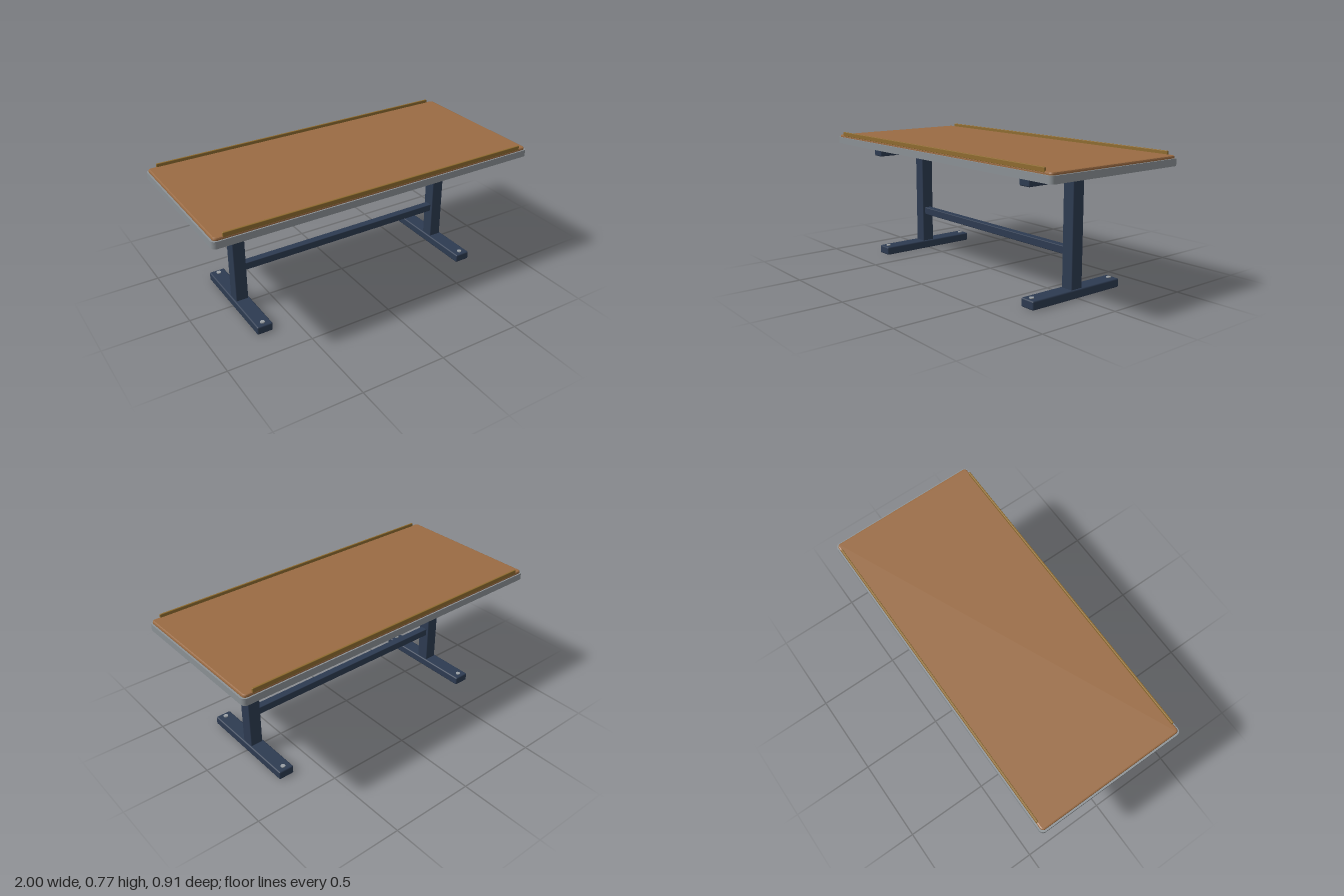
import * as THREE from 'three';
import { RoundedBoxGeometry } from 'three/addons/geometries/RoundedBoxGeometry.js';

const paint = (name, color) => {
  const m = new THREE.MeshStandardMaterial({ color });
  m.name = name;
  return m;
};

// Rounded rectangle in plan, given half sizes and corner radius
function outline(hx, hz, r, Type = THREE.Shape) {
  const s = new Type();
  s.moveTo(hx, -hz + r);
  s.lineTo(hx, hz - r);
  s.absarc(hx - r, hz - r, r, 0, Math.PI / 2);
  s.absarc(-hx + r, hz - r, r, Math.PI / 2, Math.PI);
  s.absarc(-hx + r, -hz + r, r, Math.PI, Math.PI * 1.5);
  s.absarc(hx - r, -hz + r, r, Math.PI * 1.5, Math.PI * 2);
  return s;
}

// Extrude a plan shape upward between two heights, with an optional bevel
function slab(shape, y0, y1, bevel = 0) {
  const g = new THREE.ExtrudeGeometry(shape, {
    depth: y1 - y0 - 2 * bevel, curveSegments: 8, bevelEnabled: bevel > 0,
    bevelSize: bevel, bevelThickness: bevel, bevelOffset: -bevel, bevelSegments: 2,
  });
  g.rotateX(-Math.PI / 2);
  g.translate(0, y0 + bevel, 0);
  return g;
}

export function createModel() {
  const model = new THREE.Group();
  model.name = 'table';
  const wood = paint('wood', 0x9a6b43);
  const edging = paint('grey edging', 0x8c9296);
  const brass = paint('brass', 0x8f6c30);
  const steel = paint('navy steel', 0x2d3b51);
  const metal = paint('bolt metal', 0x9aa0a5);

  const add = (parent, name, geometry, material, x = 0, y = 0, z = 0) => {
    const mesh = new THREE.Mesh(geometry, material);
    mesh.name = name;
    mesh.position.set(x, y, z);
    parent.add(mesh);
    return mesh;
  };
  const box = (w, h, d, r) => new RoundedBoxGeometry(w, h, d, 2, r);

  // Table top: core, bevelled working surface and edge band
  add(model, 'topCore', slab(outline(0.99, 0.446, 0.02), 0.701, 0.742), wood);
  add(model, 'topSurface', slab(outline(0.99, 0.447, 0.02), 0.728, 0.755, 0.008), wood);
  const band = outline(1, 0.455, 0.026);
  band.holes.push(outline(0.99, 0.446, 0.02, THREE.Path));
  add(model, 'edgeBand', slab(band, 0.7, 0.74), edging);

  // Low rails along both long edges
  for (const s of [1, -1])
    add(model, 'edgeRail', box(1.88, 0.026, 0.011, 0.003), brass, 0, 0.761, s * 0.4415);

  // T-shaped leg at each end
  for (const s of [1, -1]) {
    const leg = new THREE.Group();
    leg.name = s > 0 ? 'leftLeg' : 'rightLeg';
    leg.position.x = s * 0.69;
    model.add(leg);
    add(leg, 'foot', box(0.094, 0.05, 0.642, 0.008), steel, 0, 0.025);
    add(leg, 'post', box(0.075, 0.61, 0.077, 0.005), steel, 0, 0.345);
    add(leg, 'topBracket', box(0.075, 0.057, 0.694, 0.007), steel, 0, 0.6655);
    for (const z of [0.288, -0.288])
      add(leg, 'footBolt', new THREE.CylinderGeometry(0.013, 0.013, 0.012, 20), metal, 0, 0.05, z);
  }

  // Stretcher between the legs
  add(model, 'stretcher', box(1.34, 0.045, 0.045, 0.004), steel, 0, 0.25);

  return model;
}
